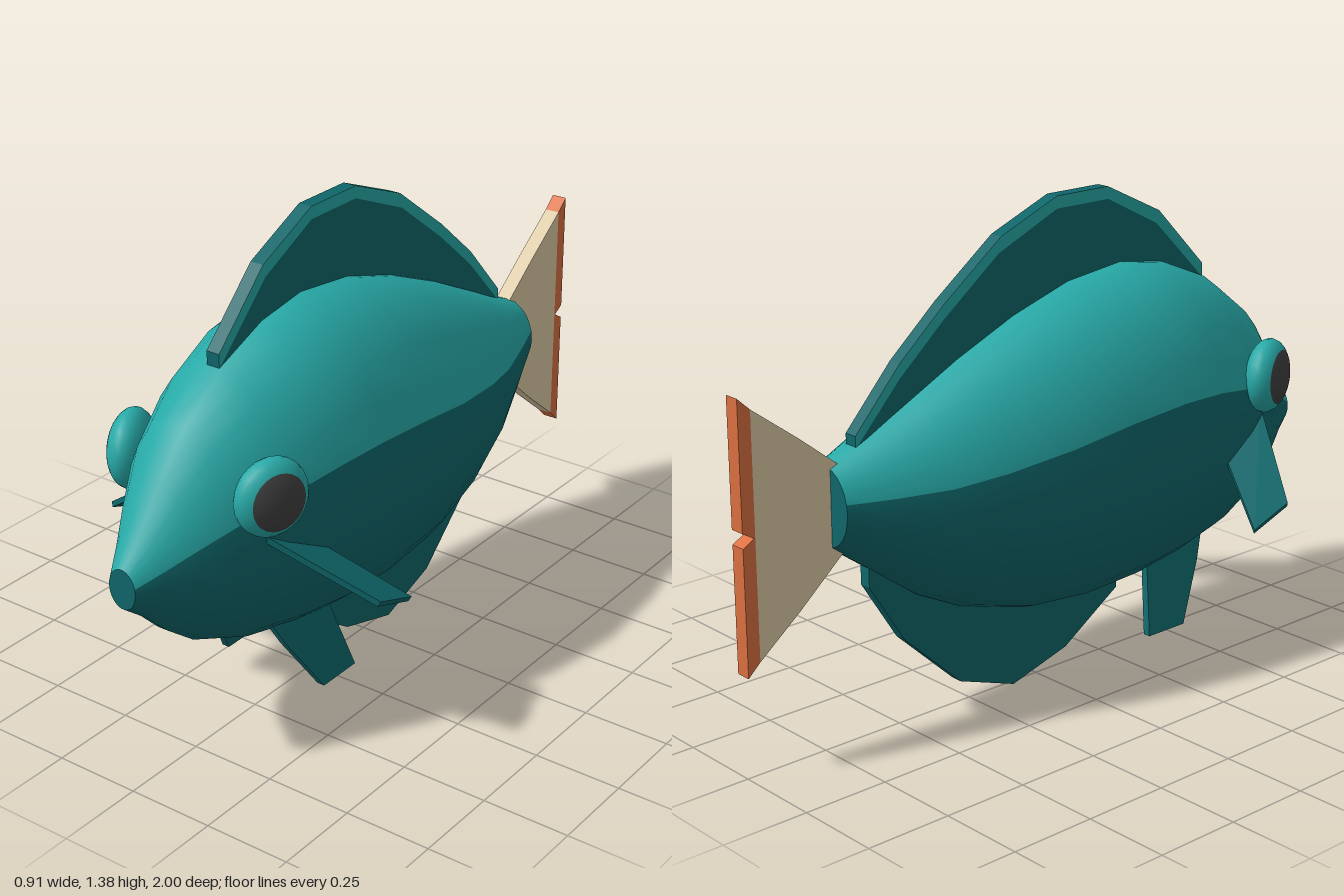
import * as THREE from 'three';
import { ConvexGeometry } from 'three/addons/geometries/ConvexGeometry.js';

const mat = (name, color) => {
  const m = new THREE.MeshStandardMaterial({ color });
  m.name = name;
  return m;
};

export function createModel() {
  const teal = mat('teal', 0x27a9a7);
  const darkTeal = mat('darkTeal', 0x0f666a);
  const cream = mat('cream', 0xdccaa6);
  const orange = mat('orange', 0xdb7040);
  const black = mat('black', 0x3f3f3f);

  const fish = new THREE.Group();
  fish.name = 'fish';
  const add = (name, geometry, material, parent = fish) => {
    const mesh = new THREE.Mesh(geometry, material);
    mesh.name = name;
    parent.add(mesh);
    return mesh;
  };

  // Upright plate from a (z, y) outline, centred on x = 0
  const plate = (points, thickness) => {
    const shape = new THREE.Shape(points.map(([z, y]) => new THREE.Vector2(z, y)));
    return new THREE.ExtrudeGeometry(shape, { depth: thickness, bevelEnabled: false })
      .translate(0, 0, -thickness / 2)
      .rotateY(-Math.PI / 2);
  };

  // Body sections: z, top, bottom, half width
  const sections = [
    [1, 0.657, 0.545, 0.043], [0.93, 0.745, 0.49, 0.085], [0.86, 0.85, 0.42, 0.13],
    [0.77, 0.965, 0.35, 0.185], [0.63, 1.07, 0.29, 0.238], [0.46, 1.14, 0.252, 0.278],
    [0.3, 1.165, 0.23, 0.296], [0.1, 1.142, 0.22, 0.292], [-0.1, 1.08, 0.238, 0.275],
    [-0.3, 0.995, 0.295, 0.235], [-0.45, 0.92, 0.37, 0.193], [-0.6, 0.845, 0.48, 0.138],
    [-0.725, 0.79, 0.57, 0.09],
  ];
  const sides = 26;
  const positions = [];
  for (const [z, top, bottom, w] of sections) {
    for (let k = 0; k < sides; k++) {
      const a = (k / sides) * Math.PI * 2;
      positions.push(w * Math.cos(a), (top + bottom) / 2 + ((top - bottom) / 2) * Math.sin(a), z);
    }
  }
  const back = [], belly = [];
  for (let i = 0; i < sections.length - 1; i++) {
    for (let k = 0; k < sides; k++) {
      const n = (k + 1) % sides;
      const a = i * sides + k, b = a + sides, c = i * sides + n, d = c + sides;
      (k >= 1 && k < 12 ? back : belly).push(a, b, c, b, d, c);
    }
  }
  const body = new THREE.BufferGeometry();
  body.setAttribute('position', new THREE.Float32BufferAttribute(positions, 3));
  body.setIndex([...back, ...belly]);
  body.addGroup(0, back.length, 0);
  body.addGroup(back.length, belly.length, 1);
  body.computeVertexNormals();
  add('body', body, [teal, darkTeal]);

  // Flat ends of the body
  const cap = (name, [z, top, bottom, w], turn) => {
    const disc = new THREE.CircleGeometry(1, sides).rotateY(turn);
    add(name, disc.scale(w, (top - bottom) / 2, 1).translate(0, (top + bottom) / 2, z), darkTeal);
  };
  cap('mouth', sections[0], 0);
  cap('tailRoot', sections[sections.length - 1], Math.PI);

  // Dorsal fin with a lighter band along its crest
  const crest = [[0.63, 1.105], [0.45, 1.285], [0.25, 1.38], [0.06, 1.38],
    [-0.14, 1.3], [-0.34, 1.15], [-0.49, 1.02], [-0.64, 0.855]];
  const inner = [[0.63, 1.065], [0.44, 1.25], [0.25, 1.345], [0.06, 1.345],
    [-0.15, 1.255], [-0.34, 1.11], [-0.49, 0.98], [-0.64, 0.82]];
  const root = [[-0.62, 0.76], [-0.3, 0.9], [0.1, 1.05], [0.3, 1.05], [0.6, 0.98]];
  add('dorsalFin', plate([...inner, ...root], 0.04), darkTeal);
  add('dorsalBand', plate([...crest, ...inner.slice().reverse()], 0.04), [teal, darkTeal]);

  // Anal fin
  add('analFin', plate([[0.3, 0.35], [0.3, 0.19], [0.1, 0.06], [-0.1, 0.003], [-0.295, 0.07],
    [-0.49, 0.25], [-0.605, 0.43], [-0.605, 0.52], [-0.45, 0.5]], 0.035), darkTeal);

  // Tail fin with a notched tip
  add('tailFin', plate([[-0.68, 0.78], [-0.82, 0.89], [-0.962, 0.995], [-0.962, 0.325],
    [-0.83, 0.43], [-0.68, 0.56]], 0.045), cream);
  add('tailTip', plate([[-0.962, 0.995], [-1, 1.03], [-1, 0.68], [-0.965, 0.66], [-1, 0.64],
    [-1, 0.29], [-0.962, 0.325]], 0.045), orange);

  // Paired fins and eyes, mirrored across the body
  for (const side of [1, -1]) {
    const half = new THREE.Group();
    half.name = side > 0 ? 'leftSide' : 'rightSide';
    half.scale.x = side;
    fish.add(half);

    // Pelvic fin, splayed outward toward its tip
    const pelvic = plate([[0.555, 0.32], [0.52, 0.25], [0.42, 0.09], [0.28, 0.09], [0.33, 0.32]], 0.022);
    const p = pelvic.attributes.position;
    for (let i = 0; i < p.count; i++) p.setX(i, p.getX(i) + 0.117 + (0.26 - p.getY(i)) * 0.29);
    pelvic.computeVertexNormals();
    add('pelvicFin', pelvic, darkTeal, half);

    // Pectoral fin, a thin slanted blade
    const blade = [[0.19, 0.69, 0.71], [0.45, 0.5, 0.545], [0.45, 0.452, 0.41], [0.25, 0.58, 0.51]]
      .map((v) => new THREE.Vector3(...v));
    const normal = blade[1].clone().sub(blade[0]).cross(blade[3].clone().sub(blade[0])).setLength(0.008);
    const corners = blade.flatMap((v) => [v.clone().add(normal), v.clone().sub(normal)]);
    add('pectoralFin', new ConvexGeometry(corners), darkTeal, half);

    // Eye: flattened ball with a dark outer cap
    const eye = new THREE.Group();
    eye.name = 'eye';
    eye.position.set(0.228, 0.8, 0.693);
    eye.rotation.y = -0.36;
    half.add(eye);
    const zone = (from, to) => new THREE.SphereGeometry(1, 24, 10, 0, Math.PI * 2, from, to - from)
      .rotateZ(-Math.PI / 2).scale(0.058, 0.108, 0.104);
    add('eyeball', zone(0.82, Math.PI), teal, eye);
    add('pupil', zone(0, 0.82), black, eye);
  }
  return fish;
}
